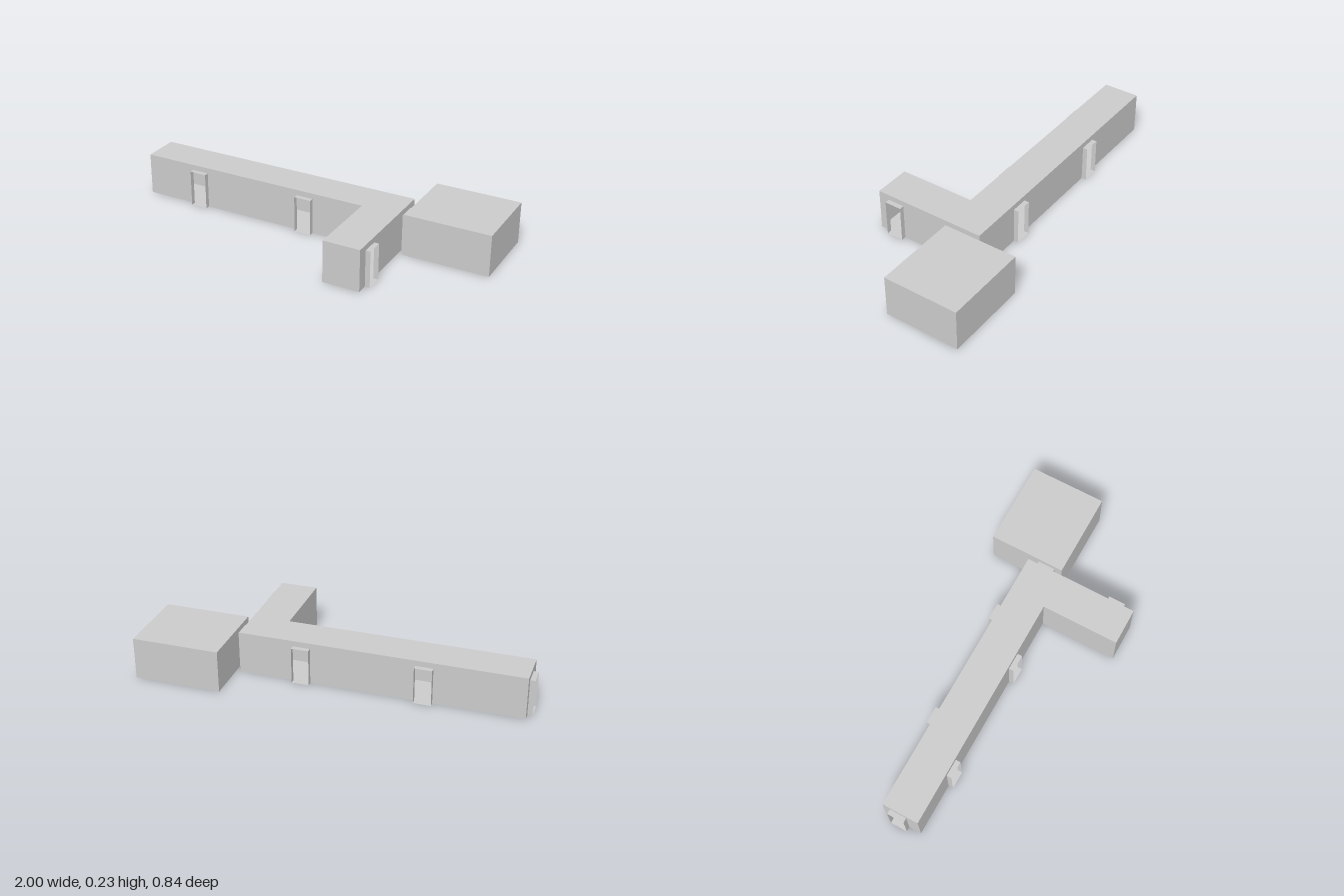
import * as THREE from 'three';

const DOOR_W = 0.092, DOOR_H = 0.197, DOOR_D = 0.026;
const material = new THREE.MeshStandardMaterial({
  color: 0xcccccc, flatShading: true, side: THREE.DoubleSide,
});

function mesh(name, geometry) {
  const m = new THREE.Mesh(geometry, material);
  m.name = name;
  return m;
}

// Thin wall in local x/y with a notch up from the floor for each doorway
function wallGeometry(length, height, doors) {
  const s = new THREE.Shape();
  s.moveTo(0, 0);
  for (const d of doors) {
    const l = d - DOOR_W / 2, r = d + DOOR_W / 2;
    s.lineTo(l, 0);
    s.lineTo(l, DOOR_H);
    s.lineTo(r, DOOR_H);
    s.lineTo(r, 0);
  }
  s.lineTo(length, 0);
  s.lineTo(length, height);
  s.lineTo(0, height);
  s.closePath();
  return new THREE.ShapeGeometry(s);
}

// Short open-ended tunnel standing out from a wall
function doorway(offset) {
  const g = new THREE.Group();
  g.name = 'doorway';
  for (const side of [-1, 1]) {
    const jamb = mesh('doorJamb', new THREE.PlaneGeometry(DOOR_D, DOOR_H));
    jamb.rotation.y = side * Math.PI / 2;
    jamb.position.set(side * DOOR_W / 2, DOOR_H / 2, DOOR_D / 2);
    const slab = mesh(side > 0 ? 'doorHead' : 'doorSill', new THREE.PlaneGeometry(DOOR_W, DOOR_D));
    slab.rotation.x = -side * Math.PI / 2;
    slab.position.set(0, side > 0 ? DOOR_H : 0, DOOR_D / 2);
    g.add(jamb, slab);
  }
  g.position.x = offset;
  return g;
}

// Hollow block: outline of [x, z] corners, doors[i] = distances along wall i
function block(name, outline, height, doors, withTunnels) {
  const g = new THREE.Group();
  g.name = name;
  outline.forEach(([x, z], i) => {
    const [x2, z2] = outline[(i + 1) % outline.length];
    const wall = new THREE.Group();
    wall.name = 'wall';
    wall.position.set(x, 0, z);
    wall.rotation.y = Math.atan2(z - z2, x2 - x);
    const list = doors[i] || [];
    wall.add(mesh('wallPanel', wallGeometry(Math.hypot(x2 - x, z2 - z), height, list)));
    if (withTunnels) list.forEach((d) => wall.add(doorway(d)));
    g.add(wall);
  });
  // Floor faces down, roof faces up
  for (const [part, sign, y] of [['floor', 1, 0], ['roof', -1, height]]) {
    const shape = new THREE.Shape(outline.map(([x, z]) => new THREE.Vector2(x, sign * z)));
    const slab = mesh(part, new THREE.ShapeGeometry(shape).rotateX(sign * Math.PI / 2));
    slab.position.y = y;
    g.add(slab);
  }
  return g;
}

export function createModel() {
  const model = new THREE.Group();
  model.name = 'corridorAndRoom';

  // L-shaped corridor with a doorway tunnel at each opening
  model.add(block('corridor', [
    [-0.975, 0.003], [0.315, 0.003], [0.315, 0.42], [0.514, 0.42], [0.514, -0.195], [-0.975, -0.195],
  ], 0.227, { 0: [0.325, 0.962], 3: [0.105, 0.52], 4: [0.335, 0.975], 5: [0.085] }, true));

  // Square room joined to the corridor's side tunnel
  model.add(block('room', [
    [0.54, -0.012], [1, -0.012], [1, -0.42], [0.54, -0.42],
  ], 0.225, { 3: [0.32] }, false));

  return model;
}
